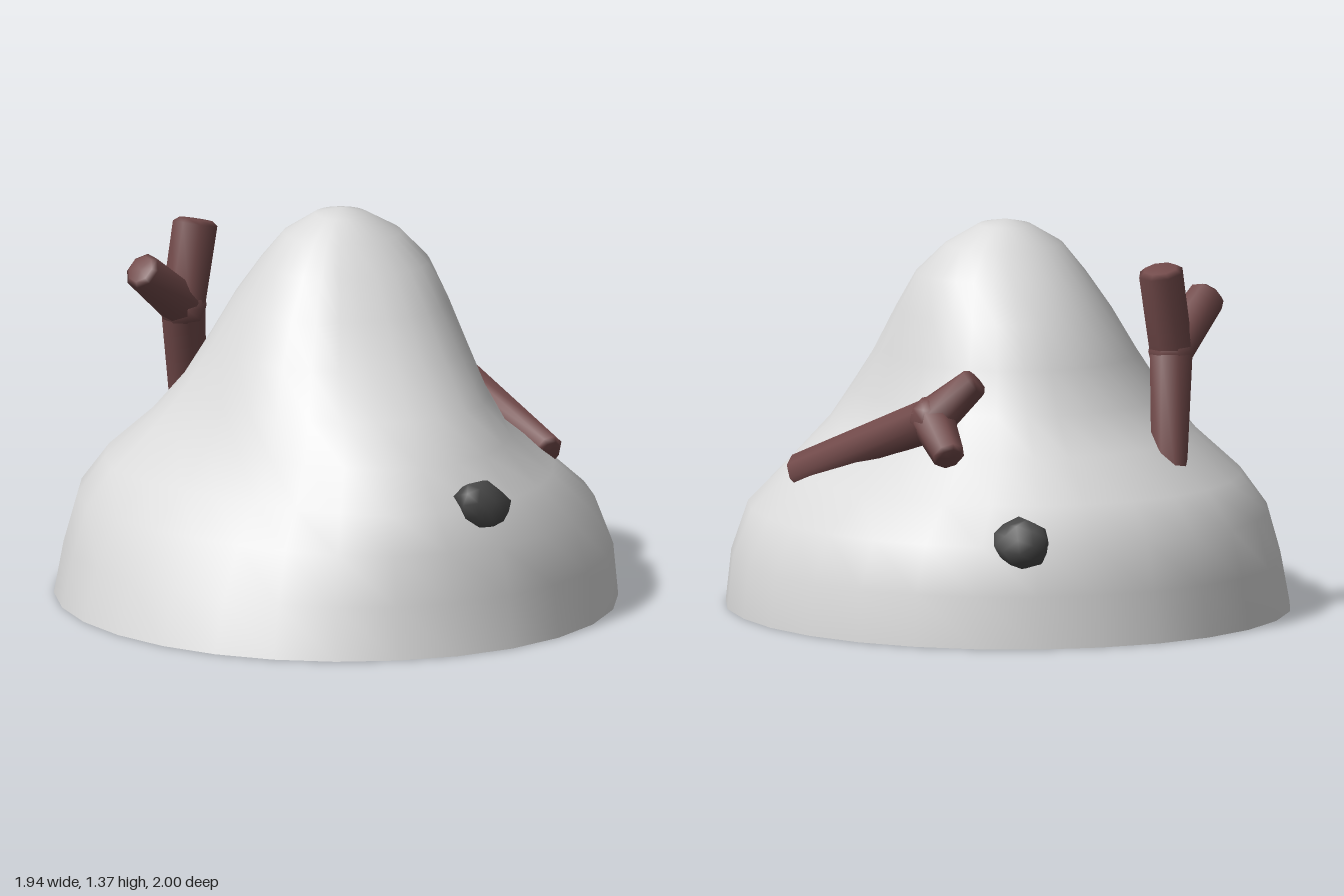
import * as THREE from 'three';
import { mergeVertices } from 'three/addons/utils/BufferGeometryUtils.js';

const snow = new THREE.MeshStandardMaterial({ color: 0xdadada, side: THREE.DoubleSide });
snow.name = 'snow';
const wood = new THREE.MeshStandardMaterial({ color: 0x724a4a });
wood.name = 'wood';
const coal = new THREE.MeshStandardMaterial({ color: 0x4a4a4a });
coal.name = 'coal';

// Rebuild shared vertices and smooth normals
function smooth(geometry) {
  geometry.deleteAttribute('uv');
  geometry.deleteAttribute('normal');
  const merged = mergeVertices(geometry, 1e-4);
  merged.computeVertexNormals();
  return merged;
}

// Cross-sections of the mound: height, reach toward +x, -x, +z, -z, then the extra
// reach of the diagonals: front left (+x+z), front right (-x+z), back right (-x-z)
const rings = [
  [0.0, 0.97, 0.97, 1.0, 1.0, 0.02, -0.01, 0.01],
  [0.18, 0.955, 0.93, 0.96, 0.98, 0.02, -0.04, 0.02],
  [0.35, 0.885, 0.88, 0.92, 0.95, 0.03, -0.1, 0.02],
  [0.48, 0.74, 0.79, 0.86, 0.86, 0.03, -0.13, 0.01],
  [0.62, 0.56, 0.64, 0.75, 0.7, 0.06, -0.08, 0],
  [0.75, 0.49, 0.53, 0.61, 0.58, 0.06, -0.03, 0],
  [0.9, 0.44, 0.43, 0.455, 0.52, 0.04, 0.01, 0],
  [1.05, 0.39, 0.34, 0.35, 0.44, 0.02, 0.02, 0],
  [1.18, 0.335, 0.25, 0.24, 0.33, 0.01, 0.02, 0],
  [1.28, 0.24, 0.17, 0.15, 0.23, 0, 0.01, 0],
  [1.345, 0.12, 0.06, 0.06, 0.14, 0, 0, 0],
];

// Hollow mound, open underneath: a lathe stretched separately on each side
function makeMound() {
  const points = rings.map(([y]) => new THREE.Vector2(1, y));
  points.push(new THREE.Vector2(0, 1.365));
  const geometry = new THREE.LatheGeometry(points, 28);
  const pos = geometry.attributes.position;
  for (let i = 0; i < pos.count; i++) {
    const y = pos.getY(i);
    const cx = 0.03 * y / 1.365, cz = -0.05 * y / 1.365;
    const ring = rings[i % points.length] || [y, 0, 0, 0, 0, 0, 0, 0];
    const s = pos.getX(i), c = pos.getZ(i);
    const extra = c > 0 ? (s > 0 ? ring[5] : ring[6]) : (s > 0 ? 0 : ring[7]);
    const diagonal = 2 * Math.abs(s * c) * extra;
    const rx = (s > 0 ? ring[1] - cx : ring[2] + cx) + diagonal;
    const rz = (c > 0 ? ring[3] - cz : ring[4] + cz) + diagonal;
    pos.setXYZ(i, cx + s * rx, y, cz + c * rz);
  }
  const mesh = new THREE.Mesh(smooth(geometry), snow);
  mesh.name = 'snowMound';
  return mesh;
}

// One tapered piece of wood with a slightly bevelled tip
function limb(name, from, to, r0, r1) {
  const a = new THREE.Vector3(...from), b = new THREE.Vector3(...to);
  const length = a.distanceTo(b);
  const profile = [[0, 0], [r0 * 0.75, 0], [r0, 0.015], [r1, length - 0.015], [r1 * 0.75, length], [0, length]];
  const geometry = new THREE.LatheGeometry(profile.map(p => new THREE.Vector2(...p)), 8);
  const mesh = new THREE.Mesh(smooth(geometry), wood);
  mesh.position.copy(a);
  mesh.quaternion.setFromUnitVectors(new THREE.Vector3(0, 1, 0), b.sub(a).normalize());
  mesh.name = name;
  return mesh;
}

// Stick arm: a trunk that forks into short twigs
function makeStick(name, base, fork, twigs, knob) {
  const group = new THREE.Group();
  group.name = name;
  group.add(limb('trunk', base, fork, 0.064, 0.078));
  const joint = new THREE.Mesh(new THREE.SphereGeometry(0.084, 8, 6), wood);
  joint.position.set(...fork);
  joint.name = 'forkJoint';
  group.add(joint);
  for (const [tip, r] of twigs) group.add(limb('twig', fork, tip, 0.078, r));
  if (knob) group.add(limb('knob', ...knob, 0.045, 0.035));
  return group;
}

// Lumpy piece of coal
function makeCoal(name, position, scale, rotation) {
  const geometry = smooth(new THREE.IcosahedronGeometry(1, 1));
  const pos = geometry.attributes.position;
  for (let i = 0; i < pos.count; i++) {
    const k = 0.95 + 0.1 * Math.sin(i * 2.4);
    pos.setXYZ(i, pos.getX(i) * k, pos.getY(i) * k, pos.getZ(i) * k);
  }
  geometry.computeVertexNormals();
  const mesh = new THREE.Mesh(geometry, coal);
  mesh.position.set(...position);
  mesh.scale.set(...scale);
  mesh.rotation.set(...rotation);
  mesh.name = name;
  return mesh;
}

export function createModel() {
  const model = new THREE.Group();
  model.name = 'meltedSnowMound';
  model.add(makeMound());

  // Stick lying along the left side
  model.add(makeStick('leftStick', [0.735, 0.485, 0.115], [0.43, 0.74, -0.45],
    [[[0.29, 0.88, -0.515], 0.056], [[0.42, 0.625, -0.61], 0.058]],
    [[0.58, 0.61, -0.15], [0.5, 0.69, -0.165]]));

  // Stick standing at the back right
  model.add(makeStick('rightStick', [-0.39, 0.5, -0.58], [-0.44, 0.94, -0.455],
    [[[-0.385, 1.235, -0.5], 0.08], [[-0.62, 1.11, -0.33], 0.067]]));

  // Broken twig inside the hollow
  model.add(limb('innerTwig', [-0.17, 0.48, -0.36], [-0.37, 0.25, -0.4], 0.06, 0.05));
  model.add(limb('innerTwigEnd', [-0.35, 0.27, -0.4], [-0.45, 0.22, -0.44], 0.04, 0.03));

  model.add(makeCoal('frontCoal', [0.35, 0.49, 0.795], [0.12, 0.085, 0.065], [-0.4, 0.45, -0.3]));
  model.add(makeCoal('backCoal', [0.25, 0.36, -0.885], [0.11, 0.092, 0.075], [0.35, -0.5, 0]));
  return model;
}
